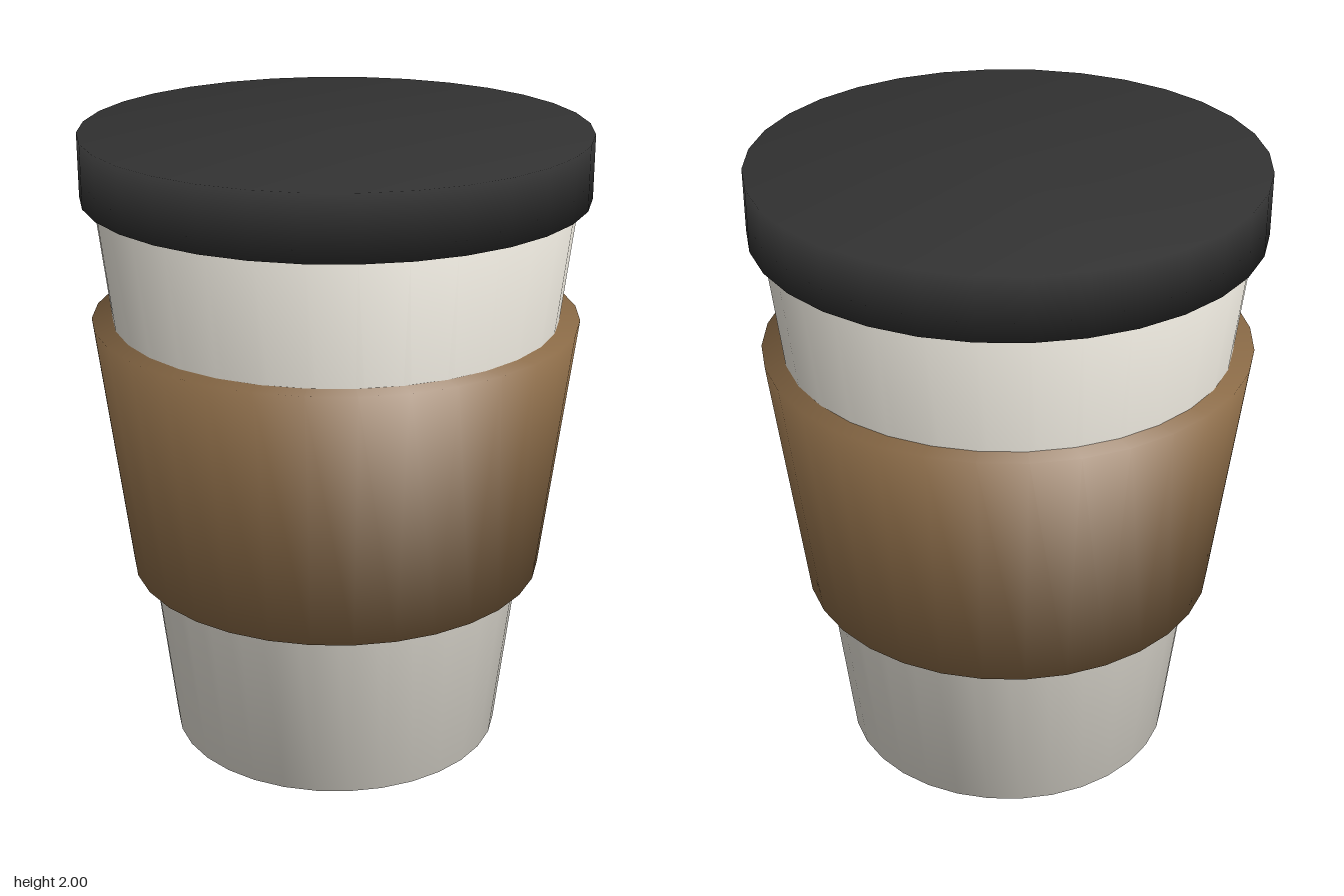
import * as THREE from 'three';

const SIDES = 32;

const paper = new THREE.MeshStandardMaterial({ color: 0xe6e2d8 });
paper.name = 'offWhitePaper';
const cardboard = new THREE.MeshStandardMaterial({ color: 0x8b6b47 });
cardboard.name = 'brownCardboard';
const plastic = new THREE.MeshStandardMaterial({ color: 0x323232 });
plastic.name = 'blackPlastic';

// Closed tapered drum whose normals run smoothly over the rims
function drum(name, material, bottomRadius, bottomY, topRadius, topY) {
  const profile = [
    [0, bottomY],
    [bottomRadius, bottomY],
    [topRadius, topY],
    [0, topY],
  ].map(([r, y]) => new THREE.Vector2(r, y));
  const mesh = new THREE.Mesh(new THREE.LatheGeometry(profile, SIDES), material);
  mesh.name = name;
  return mesh;
}

export function createModel() {
  const group = new THREE.Group();
  group.name = 'takeawayCup';
  group.add(
    // Cup body, reaching slightly into the lid
    drum('cup', paper, 0.533, 0, 0.745, 1.82),
    // Heat sleeve around the middle
    drum('sleeve', cardboard, 0.66, 0.585, 0.762, 1.415),
    // Flat overhanging lid
    drum('lid', plastic, 0.782, 1.803, 0.782, 2),
  );
  return group;
}
